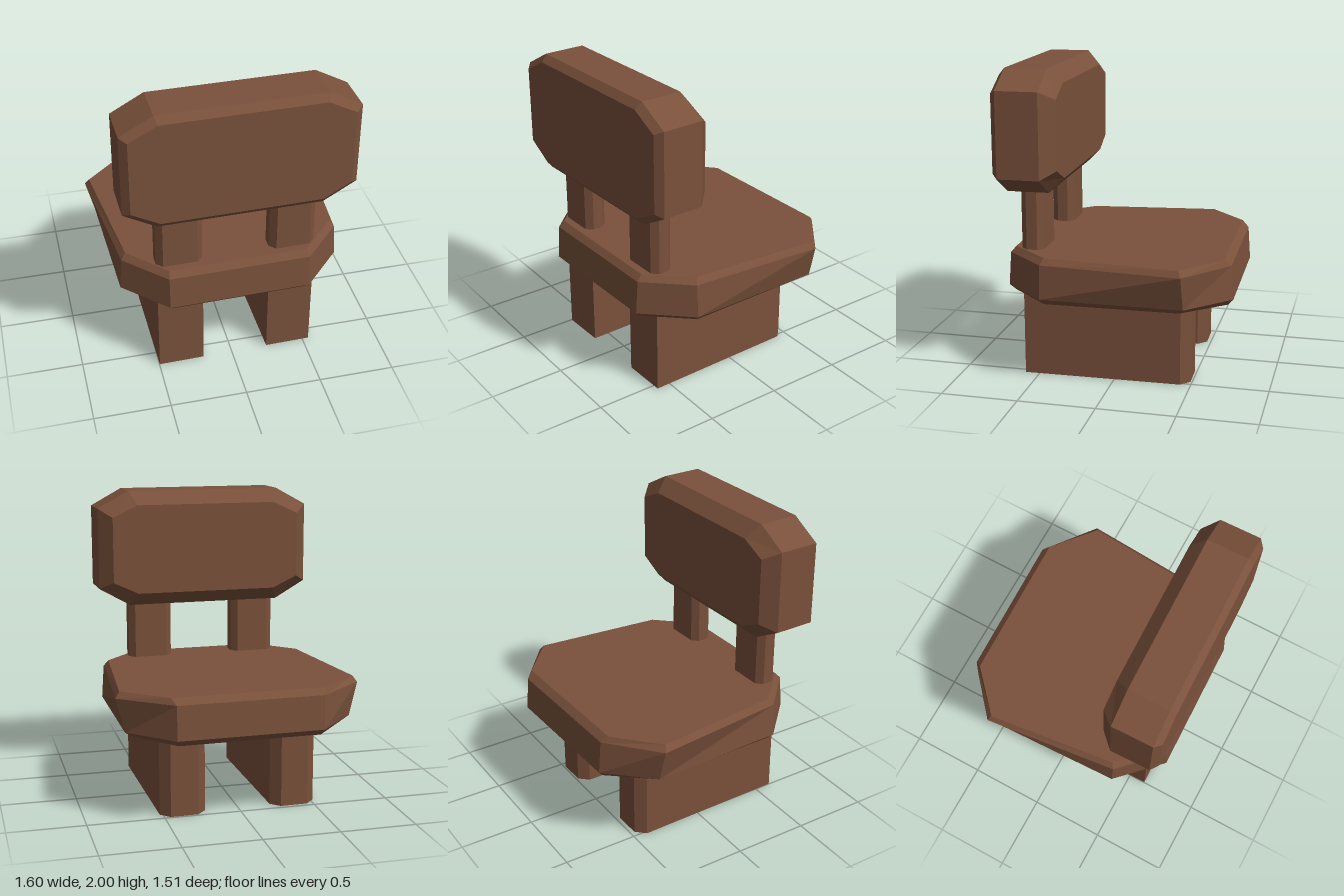
import * as THREE from 'three';

// Full outline from its +x half, listed counter-clockwise
function mirrored(half) {
  return [...half, ...half.map(([u, v]) => [-u, v]).reverse()];
}

// Faceted solid through matching outlines stacked along z: rings are [depth, halfOutline]
function loft(rings) {
  const loops = rings.map(([w, half]) => mirrored(half).map(([u, v]) => [u, v, w]));
  const pos = [];
  const tri = (a, b, c) => pos.push(...a, ...b, ...c);
  const n = loops[0].length;
  for (let k = 0; k < loops.length - 1; k++) {
    const a = loops[k], b = loops[k + 1];
    for (let i = 0; i < n; i++) {
      const j = (i + 1) % n;
      tri(a[i], a[j], b[j]);
      tri(a[i], b[j], b[i]);
    }
  }
  const first = loops[0], last = loops[loops.length - 1];
  for (let i = 1; i < n - 1; i++) {
    tri(first[0], first[i + 1], first[i]);
    tri(last[0], last[i], last[i + 1]);
  }
  const g = new THREE.BufferGeometry();
  g.setAttribute('position', new THREE.Float32BufferAttribute(pos, 3));
  g.computeVertexNormals();
  return g;
}

// Same, stacked upwards: rings are [height, half outline as x, z pairs]
function loftUp(rings) {
  const flipped = rings.map(([y, half]) => [y, half.map(([x, z]) => [x, -z])]);
  return loft(flipped).rotateX(-Math.PI / 2);
}

export function createModel() {
  const model = new THREE.Group();
  model.name = 'chair';
  const wood = new THREE.MeshStandardMaterial({ color: 0x7a513b, flatShading: true });
  wood.name = 'brown wood';

  const add = (name, geometry, x = 0) => {
    const mesh = new THREE.Mesh(geometry, wood);
    mesh.name = name;
    mesh.position.x = x;
    model.add(mesh);
  };

  // Seat: bevelled octagonal slab, wider towards -z
  add('seat', loftUp([
    [0.54, [[0.44, 0.68], [0.69, 0.42], [0.69, -0.44], [0.46, -0.71]]],
    [0.58, [[0.46, 0.72], [0.73, 0.44], [0.745, -0.47], [0.475, -0.746]]],
    [0.8, [[0.46, 0.705], [0.715, 0.44], [0.8, -0.463], [0.475, -0.73]]],
    [0.84, [[0.45, 0.67], [0.685, 0.42], [0.772, -0.445], [0.5, -0.686]]],
  ]));

  // Backrest: thick octagonal board with a wide bevel on the seat side
  const board = (x, cornerX, low, sideLow, sideHigh, high) =>
    [[cornerX, low], [x, sideLow], [x, sideHigh], [cornerX, high]];
  add('backrest', loft([
    [0.335, board(0.65, 0.48, 1.31, 1.39, 1.83, 1.91)],
    [0.425, board(0.735, 0.525, 1.22, 1.34, 1.885, 2)],
    [0.695, board(0.735, 0.525, 1.22, 1.34, 1.885, 2)],
    [0.735, board(0.69, 0.51, 1.265, 1.365, 1.86, 1.955)],
  ]));

  // Deep slab legs bevelled at the -z end, and bevelled posts holding the backrest
  const leg = [[0.15, 0.605], [0.15, -0.42], [0.09, -0.48]];
  const post = [[0.11, 0.62], [0.15, 0.58], [0.15, 0.51], [0.11, 0.47]];
  for (const [side, s] of [['left', 1], ['right', -1]]) {
    add(side + 'Leg', loftUp([[0, leg], [0.56, leg]]), s * 0.37);
    add(side + 'Post', loftUp([[0.8, post], [1.3, post]]), s * 0.37);
  }

  // The whole chair is turned very slightly
  model.rotation.y = 0.021;
  model.position.x = 0.01;
  return model;
}
